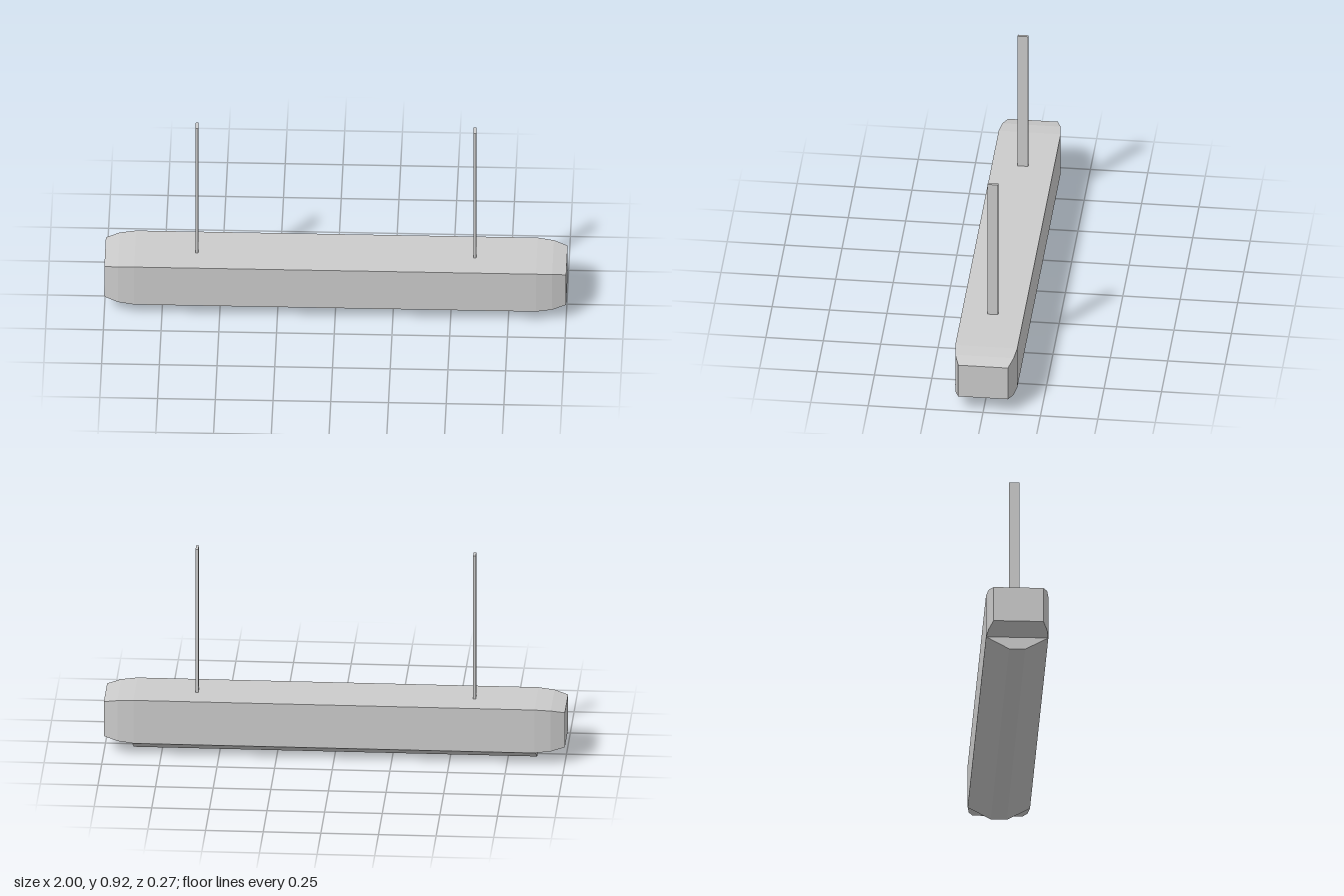
import * as THREE from 'three';

const material = new THREE.MeshStandardMaterial({ color: 0xcccccc, flatShading: true });

function addPart(parent, name, geometry, x = 0, y = 0) {
  const mesh = new THREE.Mesh(geometry, material);
  mesh.name = name;
  mesh.position.set(x, y, 0);
  parent.add(mesh);
  return mesh;
}

// Long box whose ends narrow in two steps
function taperedHousing() {
  const stations = [-1, -0.94, -0.87, 0.87, 0.94, 1];
  const scales = [0.8, 0.94, 1, 1, 0.94, 0.8];
  const geometry = new THREE.BoxGeometry(5, 0.2, 0.27, 5, 1, 1);
  const p = geometry.attributes.position;
  for (let i = 0; i < p.count; i++) {
    const k = Math.round(p.getX(i) + 2.5);
    p.setXYZ(i, stations[k], p.getY(i) * scales[k], p.getZ(i) * scales[k]);
  }
  geometry.computeVertexNormals();
  return geometry;
}

// Trapezoid section drawn out along x
function trapezoidDiffuser() {
  const shape = new THREE.Shape([
    new THREE.Vector2(-0.135, 0.055),
    new THREE.Vector2(-0.035, 0),
    new THREE.Vector2(0.035, 0),
    new THREE.Vector2(0.135, 0.055),
  ]);
  const length = 1.75;
  const geometry = new THREE.ExtrudeGeometry(shape, { depth: length, bevelEnabled: false });
  return geometry.translate(0, 0, -length / 2).rotateY(Math.PI / 2);
}

export function createModel() {
  const lamp = new THREE.Group();
  lamp.name = 'hangingLamp';

  addPart(lamp, 'housing', taperedHousing(), 0, 0.155);
  addPart(lamp, 'diffuser', trapezoidDiffuser());

  // Flat hanging bars
  for (const [side, name] of [[1, 'leftHanger'], [-1, 'rightHanger']]) {
    addPart(lamp, name, new THREE.BoxGeometry(0.012, 0.665, 0.046), side * 0.602, 0.5875);
  }
  return lamp;
}
